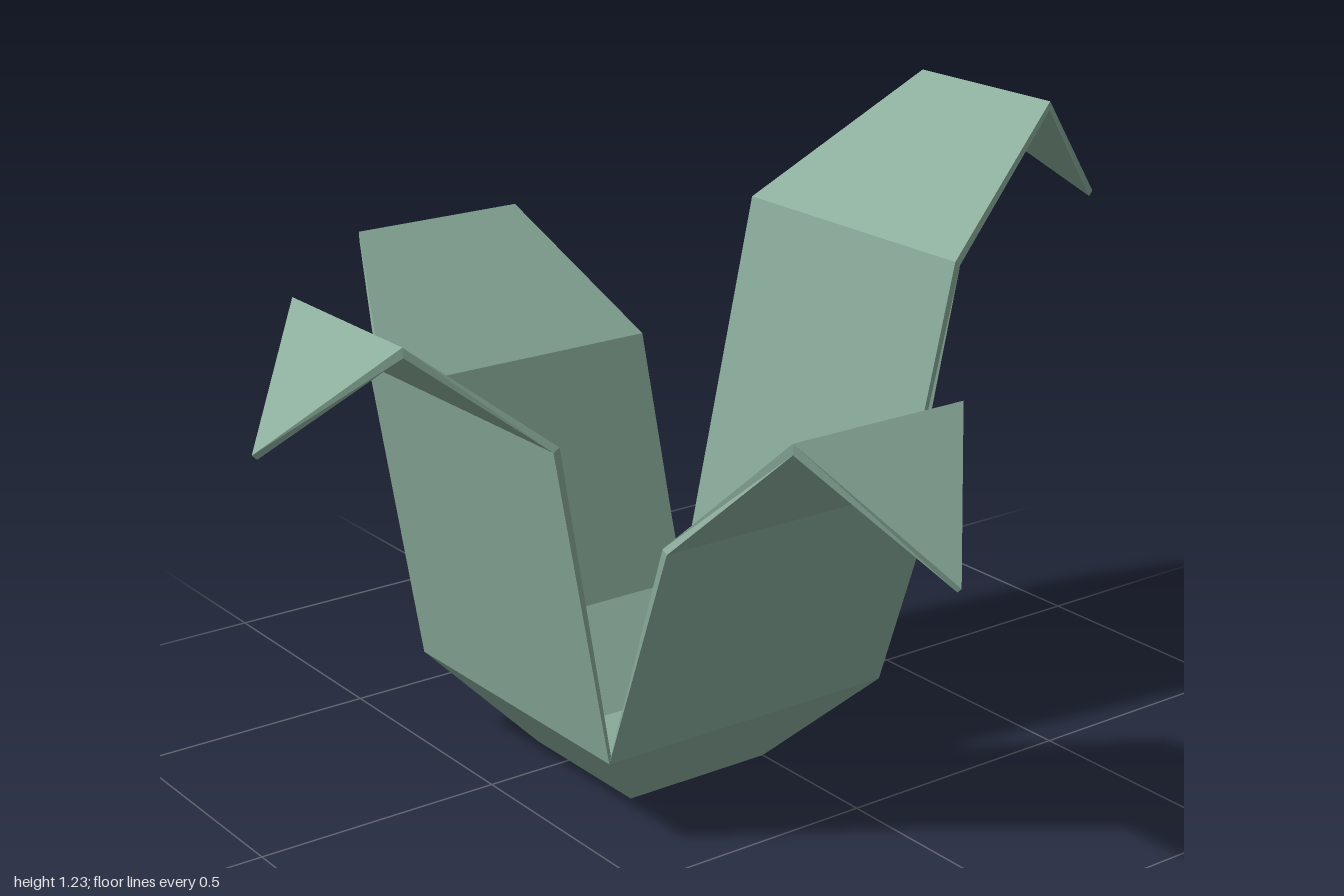
import * as THREE from 'three';

const THICKNESS = 0.014;

// A folded sheet: stations are [distance from centre, height, half width], running outward along +x
function petalGeometry(stations) {
  const normals = stations.slice(1).map(([d, y], i) => {
    const dx = d - stations[i][0], dy = y - stations[i][1], len = Math.hypot(dx, dy);
    return new THREE.Vector2(-dy / len, dx / len);
  });
  const rings = stations.map(([d, y, w], i) => {
    // mitred offset to the inner face
    const a = normals[Math.max(i - 1, 0)], b = normals[Math.min(i, normals.length - 1)];
    const n = a.clone().add(b).normalize();
    n.multiplyScalar(THICKNESS / Math.max(n.dot(a), 0.5));
    const iw = i < 3 ? w + n.x : w; // the bowl's inner corners meet on the diagonals
    return [[d, y, w], [d, y, -w], [d + n.x, y + n.y, -iw], [d + n.x, y + n.y, iw]];
  });
  const pos = [];
  for (let i = 0; i < rings.length - 1; i++) {
    for (let k = 0; k < 4; k++) {
      if (k % 2 && i < 2) continue; // the bowl has no free side edges
      const p = rings[i], q = rings[i + 1], m = (k + 1) % 4;
      pos.push(...p[k], ...p[m], ...q[m], ...p[k], ...q[m], ...q[k]);
    }
  }
  const g = new THREE.BufferGeometry();
  g.setAttribute('position', new THREE.Float32BufferAttribute(pos, 3));
  g.computeVertexNormals();
  return g;
}

export function createModel() {
  const flower = new THREE.Group();
  flower.name = 'flower';
  const material = new THREE.MeshStandardMaterial({ color: 0x88aa99, flatShading: true, side: THREE.DoubleSide });

  // Each petal: turn about y, then the bend, peak and tip as [distance, height]
  const petals = [
    ['leftPetal', 0, [0.505, 0.98], [0.84, 1.212], [1.148, 0.953]],
    ['backPetal', Math.PI / 2, [0.465, 0.685], [0.74, 0.912], [0.988, 0.67]],
    ['rightPetal', Math.PI, [0.425, 0.8], [0.645, 0.982], [0.832, 0.785]],
    ['frontPetal', -Math.PI / 2, [0.49, 0.64], [0.68, 0.85], [0.888, 0.625]],
  ];
  for (const [name, turn, bend, peak, tip] of petals) {
    const petal = new THREE.Mesh(petalGeometry([
      [0, 0, 0], [0.16, 0, 0.16], [0.32, 0.18, 0.32], // quarter of the bowl
      [...bend, 0.313], [...peak, 0.19], [...tip, 0],
    ]), material);
    petal.name = name;
    petal.rotation.y = turn;
    petal.position.set(-0.16, 0, 0.05);
    flower.add(petal);
  }
  return flower;
}
